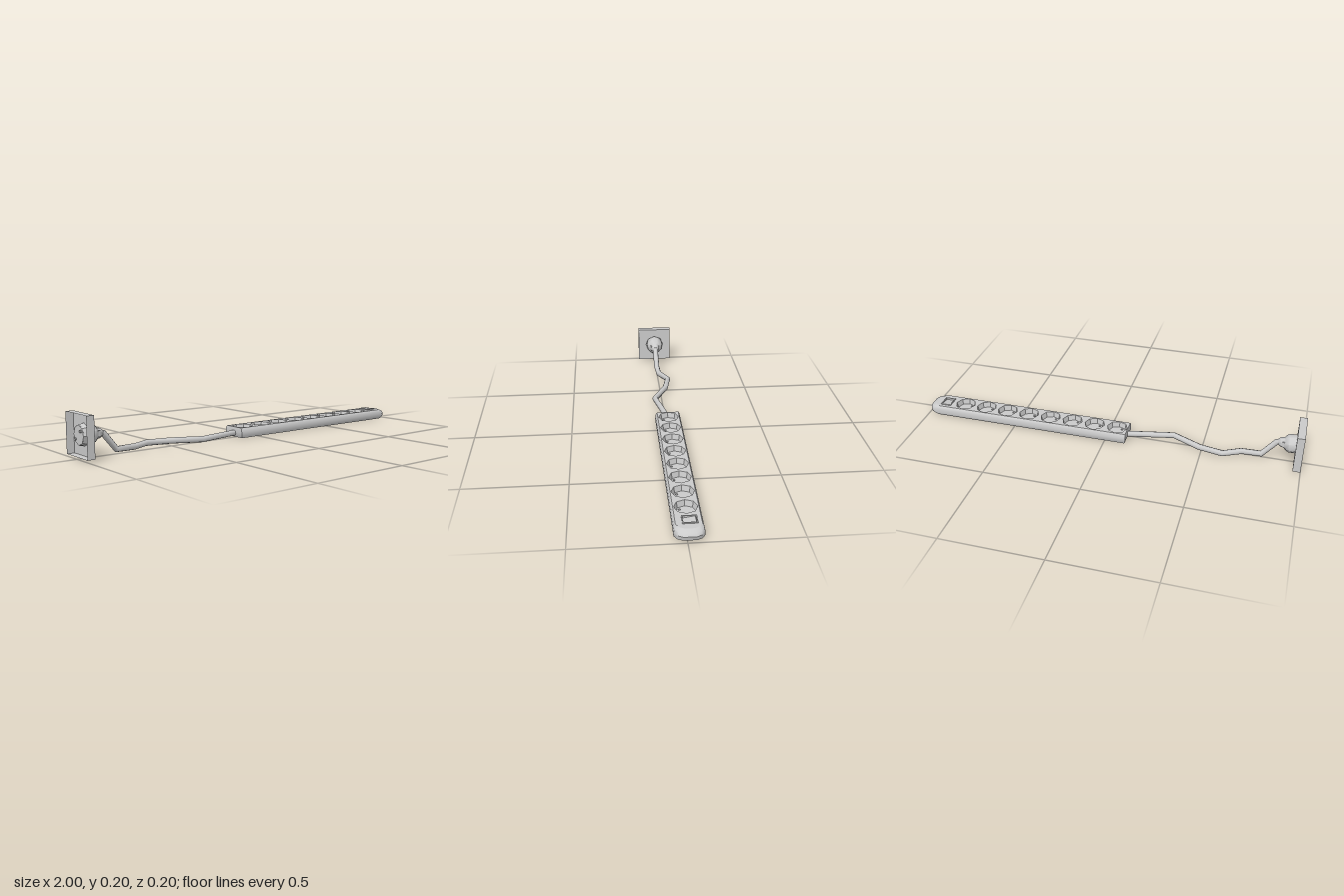
import * as THREE from 'three';
import { toCreasedNormals } from 'three/addons/utils/BufferGeometryUtils.js';

const material = new THREE.MeshStandardMaterial({ color: 0xcccccc, side: THREE.DoubleSide });

function mesh(name, geometry, parent) {
  const m = new THREE.Mesh(geometry, material);
  m.name = name;
  parent.add(m);
  return m;
}

function group(name, parent) {
  const g = new THREE.Group();
  g.name = name;
  parent.add(g);
  return g;
}

const ring = (n, r, cx = 0, cy = 0) => Array.from({ length: n }, (_, i) => {
  const a = (i / n) * Math.PI * 2;
  return new THREE.Vector2(cx + r * Math.cos(a), cy + r * Math.sin(a));
});
const rect = (w, h, cx = 0, cy = 0) => [[-1, -1], [1, -1], [1, 1], [-1, 1]]
  .map(([a, b]) => new THREE.Vector2(cx + a * w / 2, cy + b * h / 2));

// Flat horizontal face with holes, facing up
function face(outline, holes = []) {
  const shape = new THREE.Shape(outline);
  shape.holes = holes.map((h) => new THREE.Path(h));
  return new THREE.ShapeGeometry(shape).rotateX(-Math.PI / 2);
}

// Octagonal socket well whose rim lies at y = 0
const SOCKET_R = 0.053;
function makeSocket(parent, depth) {
  const g = group('socket', parent);
  const floorR = SOCKET_R * 0.88;
  const pins = [[0.02, 0.026], [-0.02, -0.026]];
  mesh('socketWall', new THREE.CylinderGeometry(SOCKET_R, floorR, depth, 8, 1, true)
    .toNonIndexed().translate(0, -depth / 2, 0), g).geometry.computeVertexNormals();
  mesh('socketFloor', face(ring(8, floorR), pins.map(([x, y]) => ring(8, 0.006, x, y)))
    .translate(0, -depth, 0), g);
  for (const [x, y] of pins) {
    mesh('pinHole', new THREE.CylinderGeometry(0.006, 0.006, 0.008, 8, 1, true)
      .translate(x, -depth - 0.004, -y), g);
  }
  return g;
}

// Strip outline at one height: square cable end, rounded far end
function stripOutline(h, x0, x1) {
  const side = [[x0, -h], [x1 - 0.035, -h], [x1 - 0.012, -h + 0.014], [x1, -h + 0.038]];
  const mirrored = side.map(([x, z]) => [x, -z]).reverse();
  return [...side, ...mirrored].map(([x, y]) => new THREE.Vector2(x, y));
}

// Skin between outlines stacked in y
function loft(levels) {
  const pos = [];
  const put = ([p, y]) => pos.push(p.x, y, -p.y);
  for (let k = 0; k < levels.length - 1; k++) {
    const lo = levels[k], hi = levels[k + 1], n = lo.outline.length;
    for (let i = 0; i < n; i++) {
      const j = (i + 1) % n;
      const a = [lo.outline[i], lo.y], b = [lo.outline[j], lo.y];
      const c = [hi.outline[j], hi.y], d = [hi.outline[i], hi.y];
      [a, b, c, a, c, d].forEach(put);
    }
  }
  const geometry = new THREE.BufferGeometry();
  geometry.setAttribute('position', new THREE.Float32BufferAttribute(pos, 3));
  return toCreasedNormals(geometry, 0.7);
}

// Straight runs with mitred bends
class Polyline extends THREE.Curve {
  constructor(points) { super(); this.points = points; }
  getPoint(t, target = new THREE.Vector3()) {
    const n = this.points.length - 1;
    const s = Math.min(Math.max(t, 0), 1) * n;
    const i = Math.min(Math.floor(s), n - 1);
    return target.lerpVectors(this.points[i], this.points[i + 1], s - i);
  }
  getPointAt(t, target) { return this.getPoint(t, target); }
  getTangentAt(t, target) { return this.getTangent(t, target); }
}

export function createModel() {
  const model = new THREE.Group();
  model.name = 'powerStripWithWallSocket';

  // Power strip body
  const strip = group('powerStrip', model);
  strip.position.z = -0.011;
  const TOP = 0.052;
  const levels = [
    [0, 0.062, -0.105, 0.98], [0.01, 0.067, -0.11, 0.995], [0.03, 0.066, -0.11, 1],
    [0.043, 0.063, -0.11, 0.992], [TOP, 0.057, -0.108, 0.97],
  ].map(([y, h, x0, x1]) => ({ y, outline: stripOutline(h, x0, x1) }));
  mesh('stripSides', loft(levels), strip);
  mesh('stripBottom', face(levels[0].outline).rotateX(Math.PI), strip);

  const socketX = Array.from({ length: 8 }, (_, i) => -0.052 + i * 0.1225);
  const SWITCH_X = 0.907, SWITCH_V = 0.006;
  const holes = socketX.map((x) => ring(8, SOCKET_R, x, 0));
  holes.push(rect(0.046, 0.058, SWITCH_X, SWITCH_V));
  mesh('stripTop', face(levels.at(-1).outline, holes).translate(0, TOP, 0), strip);
  for (const x of socketX) makeSocket(strip, 0.028).position.set(x, TOP, 0);

  // Rocker switch in a raised frame
  const powerSwitch = group('powerSwitch', strip);
  powerSwitch.position.set(SWITCH_X, TOP, -SWITCH_V);
  const frame = new THREE.Shape(rect(0.056, 0.068));
  frame.holes.push(new THREE.Path(rect(0.046, 0.058)));
  mesh('switchFrame', new THREE.ExtrudeGeometry(frame, { depth: 0.02, bevelEnabled: false })
    .rotateX(-Math.PI / 2).translate(0, -0.015, 0), powerSwitch);
  const rocker = mesh('rocker', new THREE.BoxGeometry(0.044, 0.014, 0.056), powerSwitch);
  rocker.position.y = -0.008;
  rocker.rotation.x = 0.15;

  // Wall plate, open at the back
  const plate = group('wallSocket', model);
  plate.position.set(-0.962, 0.107, 0);
  plate.rotation.z = -Math.PI / 2;
  const SIZE = 0.195, DEPTH = 0.038;
  mesh('plateFront', face(rect(SIZE, SIZE), [ring(8, SOCKET_R)]), plate);
  const rim = new THREE.CylinderGeometry(SIZE / Math.SQRT2, SIZE / Math.SQRT2, DEPTH, 4, 1, true)
    .rotateY(Math.PI / 4).translate(0, -DEPTH / 2, 0).toNonIndexed();
  rim.computeVertexNormals();
  mesh('plateSides', rim, plate);
  makeSocket(plate, 0.027);

  // Plug with tapering neck
  const plug = group('plug', plate);
  const profile = [[0, -0.025], [0.047, -0.025], [0.047, 0.034], [0.038, 0.05],
    [0.027, 0.058], [0.024, 0.076], [0.014, 0.088], [0, 0.088]]
    .map(([r, y]) => new THREE.Vector2(r, y));
  mesh('plugBody', toCreasedNormals(new THREE.LatheGeometry(profile, 8, Math.PI / 8), 0.8), plug);
  const grip = mesh('plugGrip', new THREE.CylinderGeometry(0.019, 0.026, 0.045, 4)
    .rotateY(Math.PI / 4).scale(1, 1, 1.8).toNonIndexed(), plug);
  grip.geometry.computeVertexNormals();
  grip.position.y = 0.045;

  // Cable lying on the ground between plug and strip
  const path = [[-0.9, 0.11, 0], [-0.868, 0.104, 0], [-0.8, 0.021, -0.003], [-0.7, 0.021, -0.008],
    [-0.61, 0.021, -0.054], [-0.49, 0.021, -0.03], [-0.345, 0.021, 0.04], [-0.1, 0.021, -0.012]]
    .map((p) => new THREE.Vector3(...p));
  mesh('cable', new THREE.TubeGeometry(new Polyline(path), path.length - 1, 0.0155, 8), model);

  return model;
}
